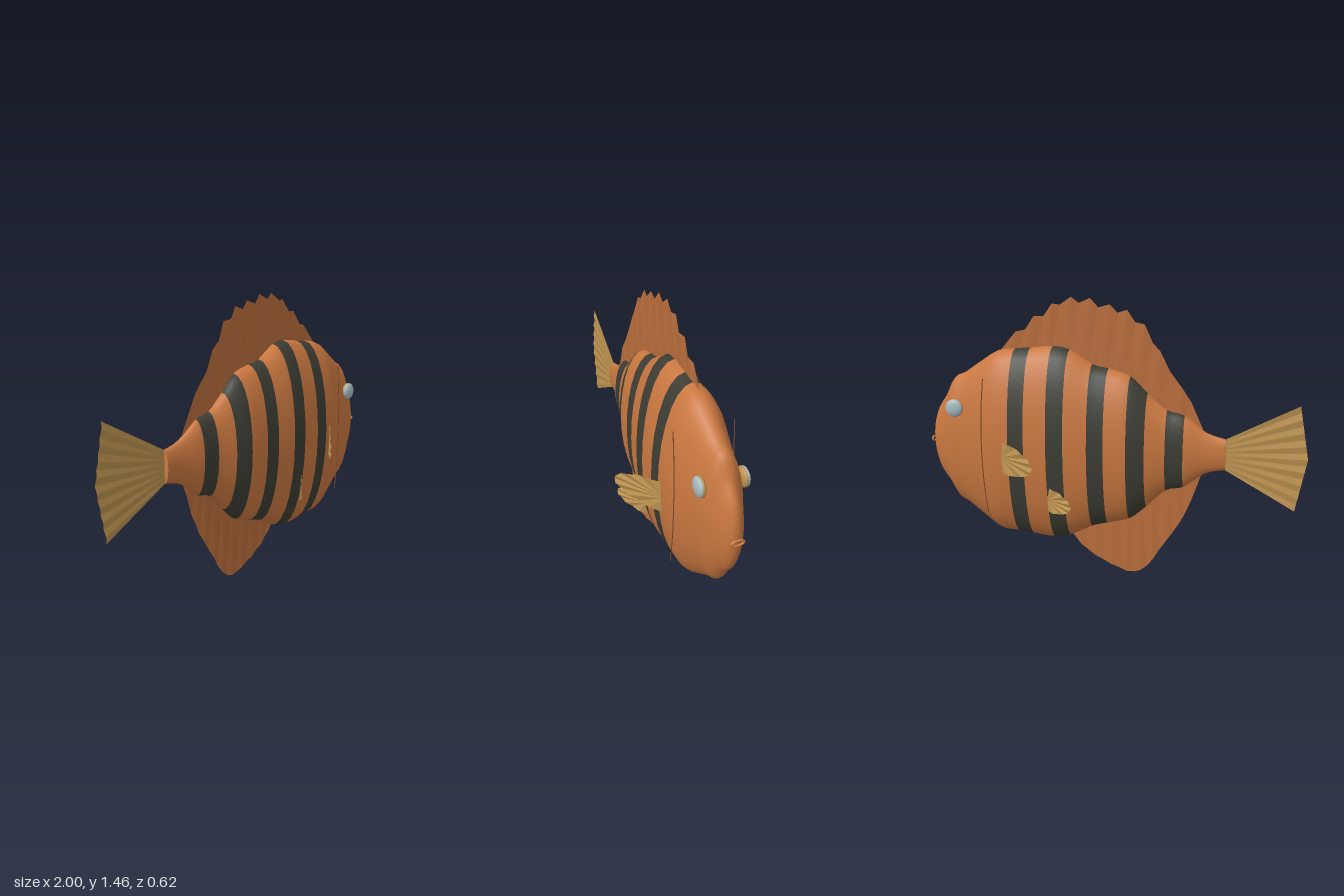
import * as THREE from 'three';

const mat = (name, color, side = THREE.FrontSide) => {
  const m = new THREE.MeshStandardMaterial({ color, side });
  m.name = name;
  return m;
};

// Body stations: x, top, bottom, half width, striped up to the next station
const STATIONS = [
  [-0.6, 0.77, 0.61, 0.025, 0], [-0.5, 0.8, 0.585, 0.035, 0],
  [-0.39, 0.88, 0.505, 0.06, 1], [-0.3, 0.905, 0.48, 0.07, 0],
  [-0.2, 0.985, 0.385, 0.1, 1], [-0.11, 1.07, 0.31, 0.125, 0],
  [0.005, 1.105, 0.275, 0.133, 1], [0.09, 1.125, 0.25, 0.14, 0],
  [0.21, 1.195, 0.19, 0.156, 1], [0.3, 1.21, 0.17, 0.16, 0],
  [0.42, 1.2, 0.178, 0.16, 1], [0.505, 1.193, 0.187, 0.16, 0],
  [0.6, 1.18, 0.195, 0.155, 0], [0.7, 1.12, 0.26, 0.13, 0],
  [0.79, 1.06, 0.325, 0.108, 0], [0.85, 1.03, 0.36, 0.095, 0],
  [0.9, 0.94, 0.44, 0.072, 0], [0.95, 0.865, 0.51, 0.05, 0],
  [0.98, 0.78, 0.6, 0.025, 0], [0.988, 0.69, 0.69, 0, 0],
];

const catmull = (a, b, c, d, t) =>
  0.5 * (2 * b + (c - a) * t + (2 * a - 5 * b + 4 * c - d) * t * t + (3 * b - a - 3 * c + d) * t * t * t);

// Top (k = 1) or bottom (k = 2) of the body at x
function profile(x, k) {
  const i = Math.max(0, STATIONS.findIndex((s) => s[0] > x) - 1);
  const [a, b] = [STATIONS[i], STATIONS[i + 1]];
  return THREE.MathUtils.lerp(a[k], b[k], (x - a[0]) / (b[0] - a[0]));
}

// Loft of elliptical rings; striped spans use the second material
function bodyGeometry() {
  const SIDES = 28, STEPS = 4, last = STATIONS.length - 1;
  const pos = [], index = [], geo = new THREE.BufferGeometry();
  const ring = (x, top, bottom, w) => {
    for (let j = 0; j < SIDES; j++) {
      const a = (j / SIDES) * Math.PI * 2;
      pos.push(x, (top + bottom) / 2 + ((top - bottom) / 2) * Math.cos(a), w * Math.sin(a));
    }
  };
  for (let i = 0; i < last; i++) {
    const near = [-1, 0, 1, 2].map((o) => STATIONS[THREE.MathUtils.clamp(i + o, 0, last)]);
    for (let s = 0; s < STEPS; s++) {
      ring(...[0, 1, 2, 3].map((k) => catmull(...near.map((n) => n[k]), s / STEPS)));
    }
  }
  ring(...STATIONS[last].slice(0, 4));
  for (let i = 0; i < last * STEPS; i++) {
    for (let j = 0; j < SIDES; j++) {
      const a = i * SIDES + j, b = i * SIDES + ((j + 1) % SIDES);
      index.push(a, b, a + SIDES, b, b + SIDES, a + SIDES);
    }
  }
  for (let i = 0; i < last; i++) {
    const count = STEPS * SIDES * 6;
    geo.addGroup(i * count, count, STATIONS[i][4]);
  }
  geo.setAttribute('position', new THREE.Float32BufferAttribute(pos, 3));
  geo.setIndex(index);
  geo.computeVertexNormals();
  return geo;
}

// Flat-faced membrane between a row of base points and a row of edge points
function membrane(base, edge) {
  const pos = [];
  for (let i = 0; i < edge.length - 1; i++) {
    pos.push(...base[i], ...edge[i], ...edge[i + 1], ...base[i], ...edge[i + 1], ...base[i + 1]);
  }
  const geo = new THREE.BufferGeometry();
  geo.setAttribute('position', new THREE.Float32BufferAttribute(pos, 3));
  geo.computeVertexNormals();
  return geo;
}

const pleat = (i) => (i % 2 ? 0.003 : -0.003);

// Half-oval fan spreading outward and back from the flank
function pairedFin(x, y, z, length, spread, halfHeight, side) {
  const N = 12, base = [], edge = [];
  for (let i = 0; i <= N; i++) {
    const t = (i / N) * Math.PI, u = Math.sin(t);
    base.push([x, y, z * side]);
    edge.push([x - length * u + pleat(i), y + halfHeight * Math.cos(t), (z + spread * u + pleat(i)) * side]);
  }
  return membrane(base, edge);
}

export function createModel() {
  const orange = mat('body orange', 0xca7840);
  const dark = mat('stripe charcoal', 0x3d3d35);
  const finOrange = mat('fin orange', 0xb96d3b, THREE.DoubleSide);
  const gold = mat('fin gold', 0xbd9350, THREE.DoubleSide);
  const eyeGrey = mat('eye grey', 0xa8bcc2);
  const brown = mat('gill brown', 0x8a4c28);

  const model = new THREE.Group();
  const add = (name, geo, material, parent = model) => {
    const mesh = new THREE.Mesh(geo, material);
    mesh.name = name;
    parent.add(mesh);
    return mesh;
  };

  add('body', bodyGeometry(), [orange, dark]);
  const cap = add('tailRoot', new THREE.CircleGeometry(1, 28), orange);
  cap.scale.set(0.025, 0.08, 1);
  cap.rotation.y = -Math.PI / 2;
  cap.position.set(-0.6, 0.69, 0);

  // Scalloped back fin
  const dorsal = [
    [-0.49, 0.8], [-0.42, 0.95], [-0.38, 1.01], [-0.31, 1.1], [-0.26, 1.2], [-0.22, 1.24],
    [-0.18, 1.33], [-0.13, 1.34], [-0.09, 1.4], [-0.04, 1.385], [0, 1.425], [0.06, 1.41],
    [0.1, 1.455], [0.16, 1.43], [0.2, 1.46], [0.26, 1.42], [0.3, 1.425], [0.35, 1.36],
    [0.4, 1.36], [0.45, 1.29], [0.5, 1.28], [0.58, 1.19],
  ];
  add('dorsalFin', membrane(
    dorsal.map(([x]) => [x + 0.06, profile(x + 0.06, 1) - 0.05, 0]),
    dorsal.map(([x, y], i) => [x, y, pleat(i)]),
  ), finOrange);

  // Rounded belly fin
  const anal = new THREE.SplineCurve([
    [-0.485, 0.59], [-0.42, 0.4], [-0.36, 0.28], [-0.28, 0.16], [-0.21, 0.05],
    [-0.13, 0.003], [-0.04, 0.025], [0.06, 0.07], [0.15, 0.13], [0.21, 0.2],
  ].map((p) => new THREE.Vector2(...p))).getPoints(20);
  add('analFin', membrane(
    anal.map(({ x }) => [x + 0.04, profile(x + 0.04, 2) + 0.05, 0]),
    anal.map(({ x, y }, i) => [x, y, pleat(i)]),
  ), finOrange);

  // Pleated tail fan
  const tailBase = [], tailEdge = [];
  for (let i = 0; i <= 16; i++) {
    const v = i / 8 - 1;
    tailBase.push([-0.595, 0.69 + 0.078 * v, 0]);
    tailEdge.push([-1 + 0.05 * Math.abs(v), 0.688 + 0.268 * v, pleat(i)]);
  }
  add('tailFin', membrane(tailBase, tailEdge), gold);

  // Mirrored fins, eyes and gill lines
  for (const side of [1, -1]) {
    const group = new THREE.Group();
    group.name = side > 0 ? 'frontSide' : 'backSide';
    model.add(group);
    add('pectoralFin', pairedFin(0.55, 0.64, 0.15, 0.23, 0.16, 0.085, side), gold, group);
    add('pelvicFin', pairedFin(0.3, 0.425, 0.14, 0.155, 0.1, 0.066, side), gold, group);

    const rim = add('eyeRim', new THREE.SphereGeometry(0.048, 24, 16), gold, group);
    rim.scale.z = 0.4;
    rim.position.set(0.82, 0.88, 0.098 * side);
    const eye = add('eye', new THREE.SphereGeometry(0.047, 24, 16), eyeGrey, group);
    eye.scale.z = 0.4;
    eye.position.set(0.82, 0.88, 0.106 * side);

    const gill = new THREE.CatmullRomCurve3([
      [0.633, 1.05], [0.65, 0.88], [0.656, 0.69], [0.65, 0.5], [0.633, 0.33],
    ].map(([x, y]) => new THREE.Vector3(x, y, 0.144 * side)));
    add('gillLine', new THREE.TubeGeometry(gill, 24, 0.0025, 6), brown, group);
  }

  // Lips
  const mouth = add('mouth', new THREE.TorusGeometry(0.03, 0.006, 8, 24), orange);
  mouth.rotation.y = Math.PI / 2;
  mouth.scale.set(1, 0.45, 1);
  mouth.position.set(0.993, 0.685, 0);

  return model;
}
